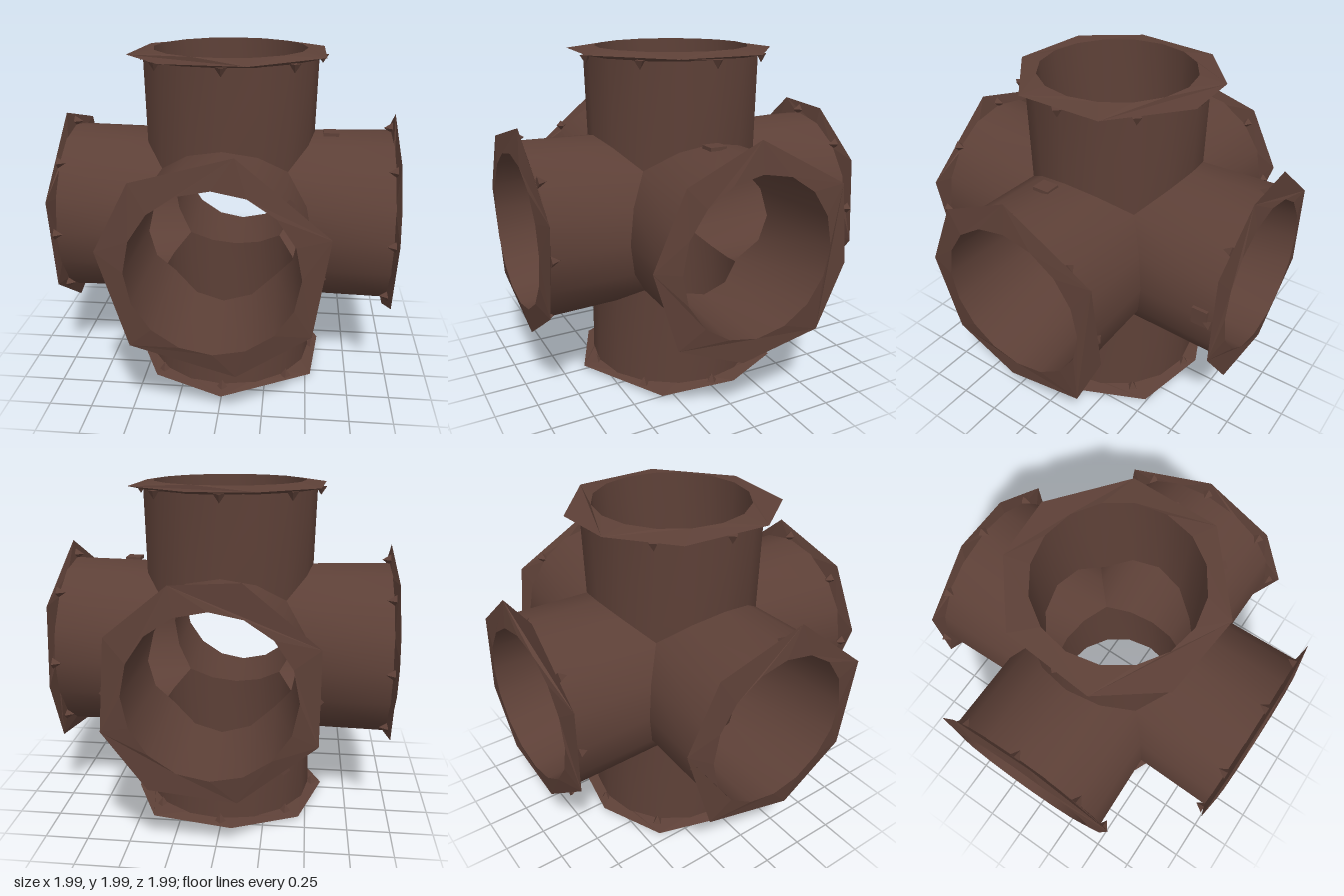
import * as THREE from 'three';

const SEG = 16;
const brown = new THREE.MeshStandardMaterial({ color: 0x5d4037 });
brown.name = 'brown metal';
const brownFlat = brown.clone();
brownFlat.flatShading = true;
brownFlat.name = 'brown metal';

// Uneven flange outlines, seen from outside the arm
const OUTLINES = {
  a: [[0.11, 0.61], [-0.41, 0.47], [-0.6, 0.1], [-0.44, -0.43], [0.12, -0.59], [0.51, -0.33], [0.59, 0.21]],
  b: [[0, 0.62], [-0.42, 0.43], [-0.6, 0.03], [-0.46, -0.42], [-0.07, -0.59], [0.41, -0.5], [0.58, -0.13], [0.53, 0.33]],
  c: [[-0.2, 0.57], [-0.53, 0.3], [-0.57, -0.21], [-0.33, -0.53], [0.14, -0.58], [0.55, -0.24], [0.55, 0.27], [0.16, 0.59]],
};

// Pipe wall along +z, starting on the mitre seam it shares with its neighbours
function wall(r, rEnd, zEnd, inward) {
  const pos = [], idx = [];
  for (let i = 0; i < SEG; i++) {
    const a = (i / SEG) * Math.PI * 2, c = Math.cos(a), s = Math.sin(a);
    pos.push(r * c, r * s, r * Math.max(Math.abs(c), Math.abs(s)));
    pos.push(rEnd * c, rEnd * s, zEnd);
    const p = 2 * i, q = 2 * ((i + 1) % SEG);
    if (inward) idx.push(p, q + 1, q, p, p + 1, q + 1);
    else idx.push(p, q, q + 1, p, q + 1, p + 1);
  }
  const g = new THREE.BufferGeometry();
  g.setAttribute('position', new THREE.Float32BufferAttribute(pos, 3));
  g.setIndex(idx);
  g.computeVertexNormals();
  return g;
}

// One face of a flange: coned ring between the outline and a round hole
function flangeFace(points, hole, zHole, zEdge, flip) {
  const shape = new THREE.Shape(points.map(([x, y]) => new THREE.Vector2(x, y)));
  const ring = [];
  for (let i = 0; i < SEG; i++) {
    const a = (-i / SEG) * Math.PI * 2;
    ring.push(new THREE.Vector2(hole * Math.cos(a), hole * Math.sin(a)));
  }
  shape.holes.push(new THREE.Path(ring));
  const g = new THREE.ShapeGeometry(shape);
  const p = g.attributes.position;
  for (let i = 0; i < p.count; i++) {
    p.setZ(i, Math.hypot(p.getX(i), p.getY(i)) < hole + 0.01 ? zHole : zEdge);
  }
  if (flip) g.index.array.reverse();
  g.computeVertexNormals();
  return g;
}

function add(parent, name, geometry, material) {
  const m = new THREE.Mesh(geometry, material);
  m.name = name;
  parent.add(m);
  return m;
}

function makeArm(name, points) {
  const arm = new THREE.Group();
  arm.name = name;
  add(arm, 'outerWall', wall(0.505, 0.515, 0.955, false), brown);
  add(arm, 'innerWall', wall(0.43, 0.45, 0.995, true), brown);
  add(arm, 'flangeFront', flangeFace(points, 0.45, 0.995, 0.972, false), brownFlat);
  add(arm, 'flangeBack', flangeFace(points, 0.5, 0.95, 0.972, true), brownFlat);
  // Pointed studs behind the flange
  const stud = new THREE.ConeGeometry(0.033, 0.05, 4).rotateX(-Math.PI / 2);
  for (let i = 0; i < 8; i++) {
    const a = (i / 8) * Math.PI * 2;
    add(arm, 'stud', stud, brownFlat).position.set(0.535 * Math.cos(a), 0.535 * Math.sin(a), 0.935);
  }
  return arm;
}

export function createModel() {
  const model = new THREE.Group();
  model.name = 'sixWayPipeJunction';
  const H = Math.PI / 2;
  const arms = [
    ['frontArm', 'a', 0, 0], ['backArm', 'c', 0, Math.PI],
    ['leftArm', 'b', 0, H], ['rightArm', 'a', 0, -H],
    ['topArm', 'c', -H, 0], ['bottomArm', 'b', H, 0],
  ];
  for (const [name, outline, rx, ry] of arms) {
    const arm = makeArm(name, OUTLINES[outline]);
    arm.rotation.set(rx, ry, 0);
    arm.position.y = 1;
    model.add(arm);
  }
  // Small plates on two of the arms
  add(model, 'sidePlate', new THREE.BoxGeometry(0.02, 0.1, 0.09), brownFlat).position.set(0.515, 1.01, -0.88);
  add(model, 'topPlate', new THREE.BoxGeometry(0.09, 0.02, 0.1), brownFlat).position.set(0.6, 1.51, 0.05);
  return model;
}
